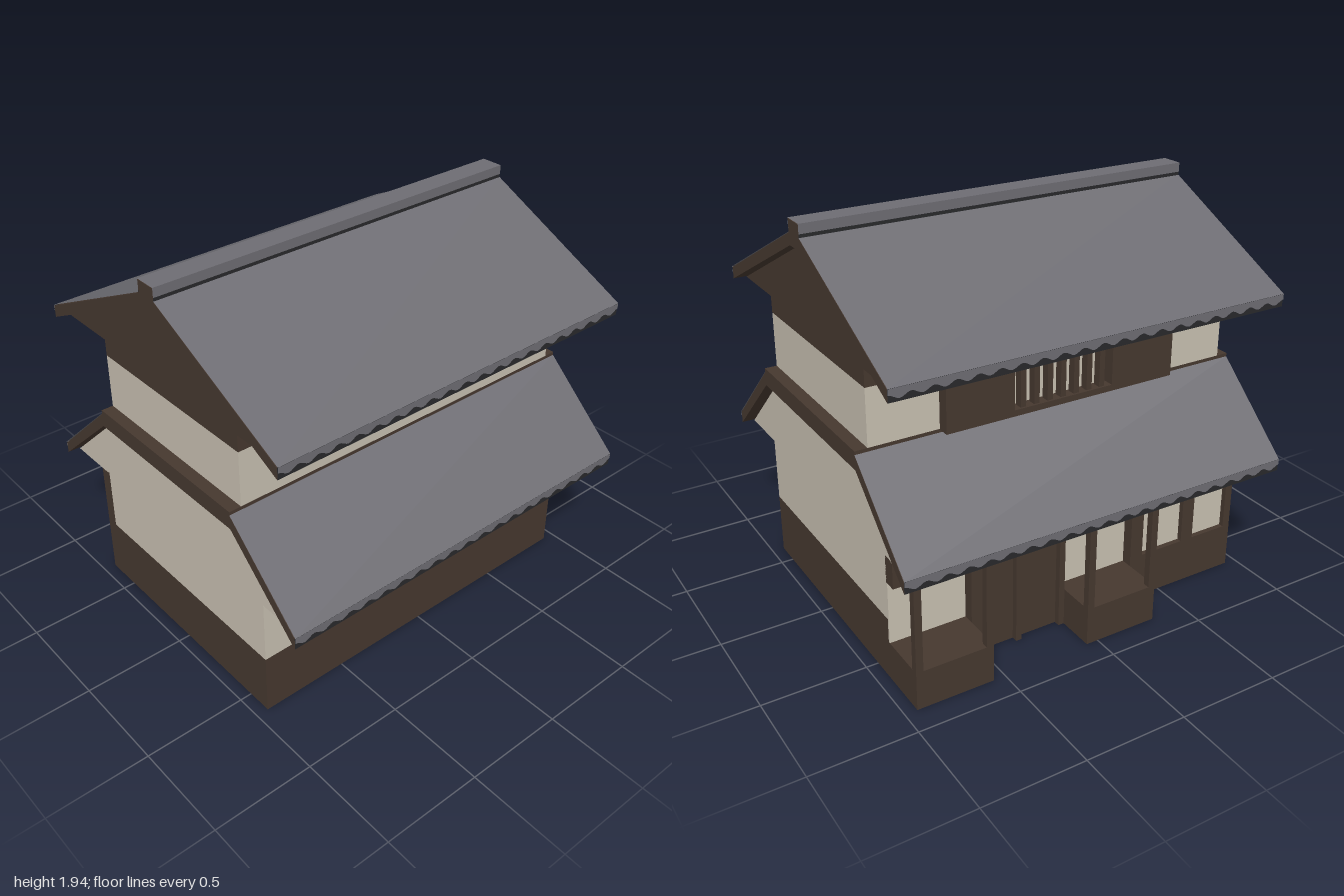
import * as THREE from 'three';

const mat = (name, color, extra = {}) => {
  const m = new THREE.MeshStandardMaterial({ color, ...extra });
  m.name = name;
  return m;
};

export function createModel() {
  const wood = mat('dark wood', 0x46382f);
  const plaster = mat('cream plaster', 0xc8c0b1);
  const tile = mat('grey tile', 0x6e6d73, { side: THREE.DoubleSide });
  const shade = mat('eave shadow tile', 0x28292b, { side: THREE.DoubleSide });

  const house = new THREE.Group();
  house.name = 'house';

  const add = (name, geo, material, parent = house) => {
    const m = new THREE.Mesh(geo, material);
    m.name = name;
    parent.add(m);
    return m;
  };
  // Box given by its limits on each axis
  const box = (name, material, [x0, x1], [y0, y1], [z0, z1], parent = house) => {
    const g = new THREE.BoxGeometry(x1 - x0, y1 - y0, z1 - z0);
    g.translate((x0 + x1) / 2, (y0 + y1) / 2, (z0 + z1) / 2);
    return add(name, g, material, parent);
  };
  // [z, y] profile extruded along x
  const prism = (name, material, pts, x0, x1, parent = house) => {
    const s = new THREE.Shape(pts.map(([z, y]) => new THREE.Vector2(z, y)));
    const g = new THREE.ExtrudeGeometry(s, { depth: x1 - x0, bevelEnabled: false });
    g.rotateY(-Math.PI / 2).translate(x1, 0, 0);
    return add(name, g, material, parent);
  };
  // Thin skin following a [z, y] line across the full roof width
  const skin = (name, material, pts, parent = house) => {
    const pos = [];
    for (let i = 0; i + 1 < pts.length; i++) {
      const [z0, y0] = pts[i], [z1, y1] = pts[i + 1];
      pos.push(-1, y1, z1, 1, y1, z1, 1, y0, z0, -1, y1, z1, 1, y0, z0, -1, y0, z0);
    }
    const g = new THREE.BufferGeometry();
    g.setAttribute('position', new THREE.Float32BufferAttribute(pos, 3));
    g.computeVertexNormals();
    return add(name, g, material, parent);
  };

  // One roof slope: wooden slab, tile skin and a scalloped eave
  const roofSlope = (name, zIn, yIn, zOut, yOut, thick, back) => {
    const g = new THREE.Group();
    g.name = name;
    const e = yOut + 0.06;
    prism('roofSlab', wood, [[zIn, yIn], [zOut - 0.006, yOut], [zOut - 0.006, e - 0.002], [zIn, yIn + thick - 0.002]], -1, 1, g);
    skin('roofTiles', tile, [[zOut, e], [zIn, yIn + thick]].reverse().map(([z, y]) => [z, y + 0.001]), g);
    skin('eaveShadow', shade, [[zOut - 0.004, e], [zOut - 0.004, yOut]], g);
    const s = new THREE.Shape();
    s.moveTo(-1, e);
    for (let i = 0; i <= 160; i++) {
      const x = -1 + i / 80;
      s.lineTo(x, yOut + 0.024 + 0.01 * Math.cos(x * Math.PI * 20));
    }
    s.lineTo(1, e);
    add('scallopedEave', new THREE.ShapeGeometry(s).translate(0, 0, zOut), tile, g);
    if (back) g.rotation.y = Math.PI;
    house.add(g);
  };

  // Ground floor
  const W = 0.94;
  box('plinth', wood, [-W, W], [0, 0.31], [-0.625, 0.625]);
  box('groundWalls', plaster, [-W, W], [0.31, 0.64], [-0.625, 0.625]);

  // Space under the lower roof, with plastered ends
  const lower = [[-0.905, 0.63], [0.905, 0.63], [0.5, 1.0], [-0.5, 1.0]];
  prism('lowerSoffit', wood, lower, -W + 0.008, W - 0.008);
  prism('gableLeft', plaster, lower, W - 0.008, W);
  prism('gableRight', plaster, lower, -W, -W + 0.008);
  for (const back of [false, true]) roofSlope('lowerRoof', 0.5, 1.0, 0.92, 0.63, 0.07, back);
  box('floorBand', wood, [-1, 1], [1.0, 1.088], [-0.5, 0.5]);

  // Upper floor
  box('upperWalls', plaster, [-W, W], [1.088, 1.36], [-0.5, 0.5]);
  box('upperBand', wood, [-W, W], [1.36, 1.45], [-0.5, 0.5]);
  prism('upperGable', wood, [[-0.82, 1.442], [0.82, 1.442], [0.05, 1.82], [-0.05, 1.82]], -W, W);
  for (const back of [false, true]) roofSlope('upperRoof', 0.05, 1.82, 0.84, 1.44, 0.06, back);

  // Ridge
  box('ridgeCore', wood, [-1, 1], [1.82, 1.937], [-0.053, 0.053]);
  skin('ridgeTiles', tile, [[-0.056, 1.895], [-0.056, 1.94], [0.056, 1.94], [0.056, 1.895]]);
  for (const s of [-1, 1]) skin('ridgeShadow', shade, [[s * 0.055, 1.895], [s * 0.055, 1.875]]);

  // Upper window: two shutter boxes with slats between
  for (const s of [-1, 1]) {
    const xs = [s * 0.26, s * 0.6].sort((a, b) => a - b);
    box('shutterBox', wood, xs, [1.085, 1.36], [-0.56, -0.5]);
  }
  box('windowSill', wood, [-0.26, 0.26], [1.085, 1.115], [-0.56, -0.5]);
  box('windowHead', wood, [-0.26, 0.26], [1.335, 1.36], [-0.56, -0.5]);
  for (let i = 0; i < 7; i++) {
    const x = -0.21 + i * 0.07;
    box('windowSlat', wood, [x - 0.014, x + 0.014], [1.115, 1.335], [-0.55, -0.51]);
  }

  // Back header beam
  box('backHeader', wood, [-W, W], [0.5, 0.635], [-0.685, -0.62]);

  // Two porches with corner posts and plastered back walls
  for (const [x0, x1] of [[0.56, W], [-0.32, 0.06]]) {
    box('porchFloor', wood, [x0, x1], [0, 0.19], [-0.875, -0.62]);
    box('porchWall', plaster, [x0, x1], [0.19, 0.5], [-0.629, -0.62]);
    for (const x of [x0, x1 - 0.035])
      box('porchPost', wood, [x, x + 0.035], [0.19, 0.64], [-0.875, -0.84]);
  }

  // Entrance door between the porches
  box('door', wood, [0.06, 0.56], [0, 0.5], [-0.655, -0.62]);
  for (const x of [0.06, 0.295, 0.53])
    box('doorFrame', wood, [x, x + 0.03], [0, 0.5], [-0.685, -0.65]);

  // Window bay
  box('bayBase', wood, [-W, -0.32], [0, 0.23], [-0.685, -0.62]);
  box('bayPanes', plaster, [-W + 0.02, -0.34], [0.23, 0.48], [-0.66, -0.652]);
  box('bayCore', wood, [-W + 0.01, -0.33], [0.23, 0.5], [-0.652, -0.62]);
  box('bayHead', wood, [-W, -0.32], [0.475, 0.5], [-0.685, -0.62]);
  for (const [x0, x1] of [[-0.94, -0.9], [-0.7, -0.63], [-0.39, -0.32]])
    box('bayPost', wood, [x0, x1], [0.23, 0.5], [-0.685, -0.62]);

  return house;
}
